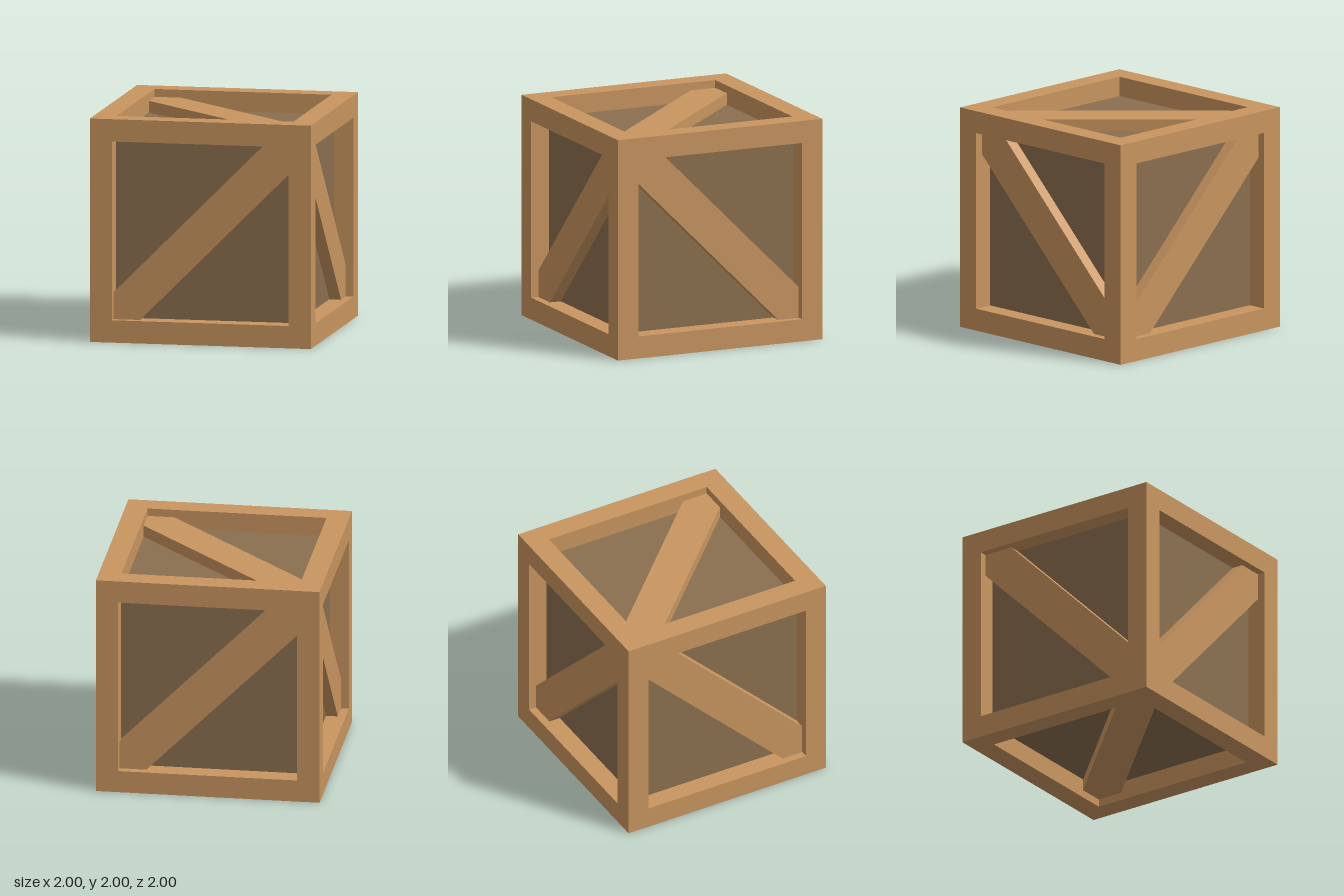
import * as THREE from 'three';

const HALF = 1;          // half the crate size
const BEAM = 0.2;        // frame beam thickness
const INNER = HALF - BEAM;
const PANEL = 0.825;     // panel distance from the centre
const BRACE = 0.93;      // outer face of the braces

export function createModel() {
  const frameWood = new THREE.MeshStandardMaterial({ color: 0xc8955f });
  frameWood.name = 'frameWood';
  const panelWood = new THREE.MeshStandardMaterial({ color: 0x8a6f4f });
  panelWood.name = 'panelWood';

  const crate = new THREE.Group();
  crate.name = 'crate';
  const body = new THREE.Group();
  body.name = 'body';
  body.position.y = HALF;
  crate.add(body);

  const add = (name, geometry, material) => {
    const mesh = new THREE.Mesh(geometry, material);
    mesh.name = name;
    body.add(mesh);
    return mesh;
  };

  // Recessed panels on all six sides
  add('panels', new THREE.BoxGeometry(2 * PANEL, 2 * PANEL, 2 * PANEL), panelWood);

  // Frame: corner posts, and rails along x and z fitted between them
  const post = new THREE.BoxGeometry(BEAM, 2 * HALF, BEAM);
  const railX = new THREE.BoxGeometry(2 * INNER, BEAM, BEAM);
  const railZ = new THREE.BoxGeometry(BEAM, BEAM, 2 * INNER);
  const c = HALF - BEAM / 2;
  for (const a of [-c, c]) {
    for (const b of [-c, c]) {
      add('cornerPost', post, frameWood).position.set(a, 0, b);
      add('crossRail', railX, frameWood).position.set(0, a, b);
      add('sideRail', railZ, frameWood).position.set(a, b, 0);
    }
  }

  // Diagonal brace from upper left to lower right, trimmed to the opening
  const braceGeometry = (below, above) => {
    const s = INNER;
    const shape = new THREE.Shape([
      [-s, s], [-s, s - below], [s - below, -s],
      [s, -s], [s, above - s], [above - s, s],
    ].map(([x, y]) => new THREE.Vector2(x, y)));
    const geometry = new THREE.ExtrudeGeometry(shape, { depth: BRACE - PANEL, bevelEnabled: false });
    return geometry.translate(0, 0, PANEL);
  };
  const even = braceGeometry(0.24, 0.24);
  const rising = even.clone().rotateZ(Math.PI / 2);
  const offset = braceGeometry(0.2, 0.28);

  const q = Math.PI / 2;
  const braces = [
    ['frontBrace', rising, 0, 0],
    ['backBrace', rising, 0, 2 * q],
    ['leftBrace', offset, 0, q],
    ['rightBrace', offset, 0, -q],
    ['topBrace', even, -q, 0],
    ['bottomBrace', even, q, 0],
  ];
  for (const [name, geometry, rx, ry] of braces) {
    add(name, geometry, frameWood).rotation.set(rx, ry, 0);
  }

  return crate;
}
